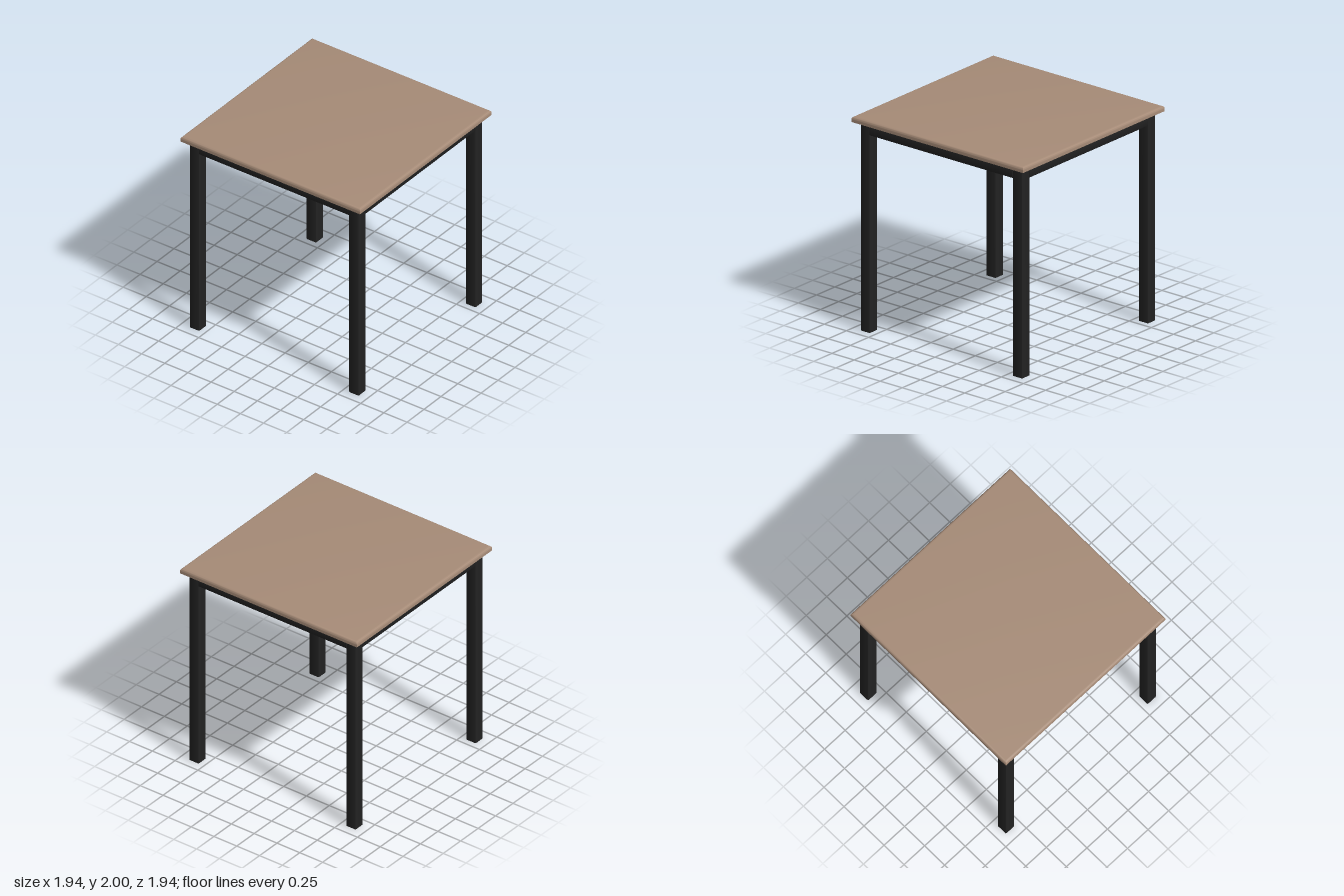
import * as THREE from 'three';
import { toCreasedNormals } from 'three/addons/utils/BufferGeometryUtils.js';

const HALF = 0.97;      // half width of the table top
const UNDER = 1.95;     // underside of the table top
const BAR = 0.106;      // square tube size
const LEG = 0.861;      // leg centre offset

// Square bar with softened long edges, centred on its axis and running along z
function barGeometry(length) {
  const r = 0.01, h = BAR / 2, c = h - r;
  const shape = new THREE.Shape();
  shape.absarc(c, c, r, 0, Math.PI / 2);
  shape.absarc(-c, c, r, Math.PI / 2, Math.PI);
  shape.absarc(-c, -c, r, Math.PI, Math.PI * 1.5);
  shape.absarc(c, -c, r, Math.PI * 1.5, Math.PI * 2);
  shape.closePath();
  const geo = new THREE.ExtrudeGeometry(shape, { depth: length, bevelEnabled: false, curveSegments: 4 });
  geo.translate(0, 0, -length / 2);
  return toCreasedNormals(geo, 0.6);
}

// Square slab with a rounded upper edge and mitred corners
function topGeometry() {
  const r = 0.025, steps = 6;
  const profile = [[0, UNDER], [HALF, UNDER]];
  for (let i = 0; i <= steps; i++) {
    const a = (i / steps) * Math.PI / 2;
    profile.push([HALF - r + r * Math.cos(a), 2 - r + r * Math.sin(a)]);
  }
  profile.push([0, 2]);
  const points = profile.map(([x, y]) => new THREE.Vector2(x * Math.SQRT2, y));
  return toCreasedNormals(new THREE.LatheGeometry(points, 4, Math.PI / 4), 0.6);
}

export function createModel() {
  const wood = new THREE.MeshStandardMaterial({ color: 0xa68b77 });
  wood.name = 'wood';
  const metal = new THREE.MeshStandardMaterial({ color: 0x222222 });
  metal.name = 'black metal';

  const table = new THREE.Group();
  table.name = 'table';
  const add = (name, geometry, material) => {
    const mesh = new THREE.Mesh(geometry, material);
    mesh.name = name;
    table.add(mesh);
    return mesh;
  };

  add('tableTop', topGeometry(), wood);

  // Four legs
  const legGeo = barGeometry(UNDER).rotateX(Math.PI / 2);
  for (const [side, x] of [['Left', 1], ['Right', -1]]) {
    for (const [end, z] of [['front', 1], ['back', -1]]) {
      add(`${end}${side}Leg`, legGeo, metal).position.set(x * LEG, UNDER / 2, z * LEG);
    }
  }

  // Rails joining the legs under the top
  const railGeo = barGeometry(2 * LEG - BAR);
  ['leftRail', 'backRail', 'rightRail', 'frontRail'].forEach((name, i) => {
    const a = i * Math.PI / 2;
    const rail = add(name, railGeo, metal);
    rail.position.set(LEG * Math.cos(a), UNDER - BAR / 2, -LEG * Math.sin(a));
    rail.rotation.y = a;
  });

  return table;
}
